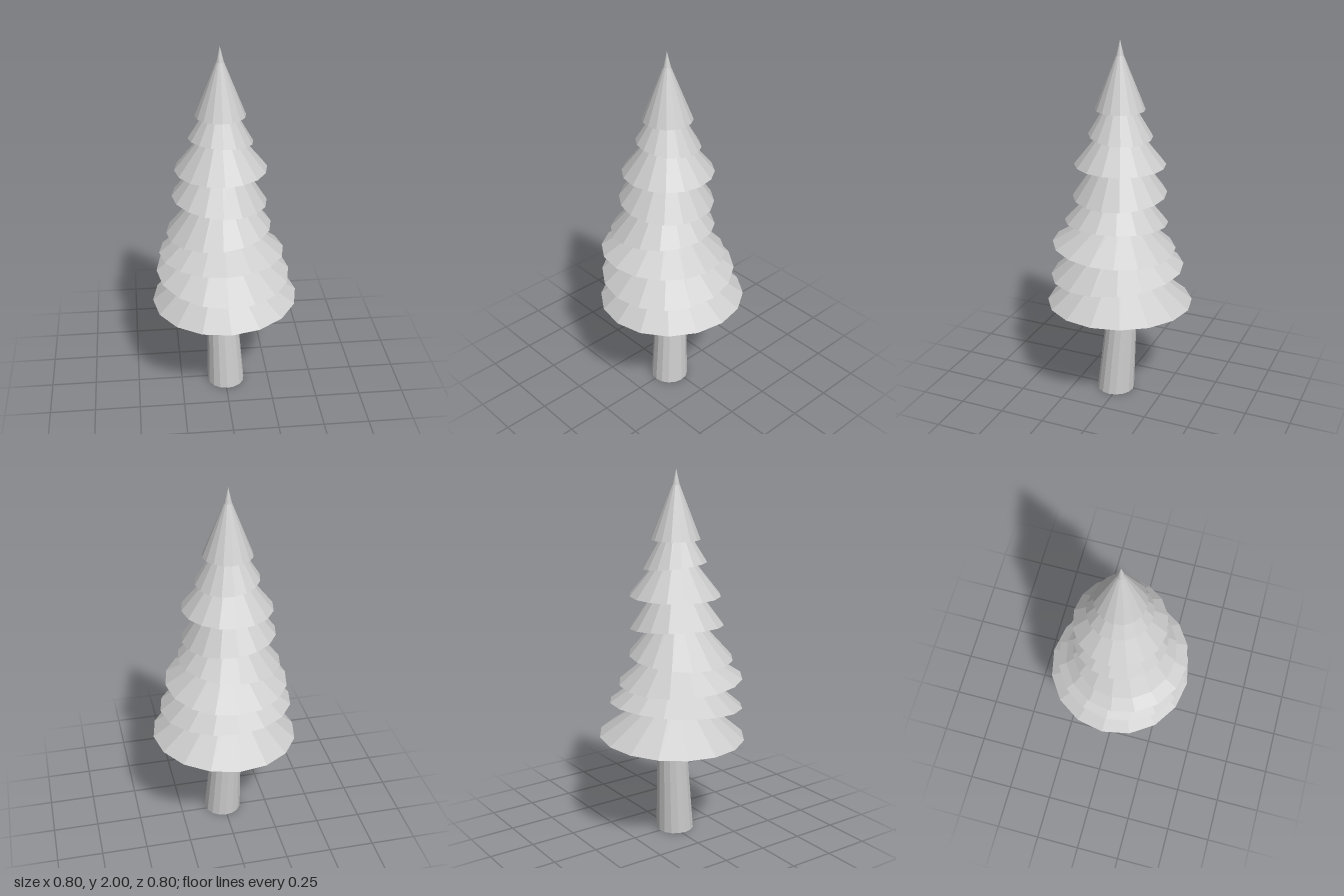
import * as THREE from 'three';

const SIDES = 16;

// Skin through rings [x, y, z, radius, tiltX, tiltZ], listed from bottom to top
function loft(rings, capBottom) {
  const pos = [], index = [];
  for (const [cx, cy, cz, r, tx = 0, tz = 0] of rings) {
    for (let j = 0; j < SIDES; j++) {
      const a = (j / SIDES) * Math.PI * 2;
      const dx = Math.cos(a) * r, dz = Math.sin(a) * r;
      pos.push(cx + dx, cy + tx * dx + tz * dz, cz + dz);
    }
  }
  for (let i = 0; i < rings.length - 1; i++) {
    for (let j = 0; j < SIDES; j++) {
      const k = (j + 1) % SIDES;
      const a = i * SIDES + j, b = i * SIDES + k;
      index.push(a, a + SIDES, b, b, a + SIDES, b + SIDES);
    }
  }
  if (capBottom) for (let j = 1; j < SIDES - 1; j++) index.push(0, j, j + 1);
  const geo = new THREE.BufferGeometry();
  geo.setAttribute('position', new THREE.Float32BufferAttribute(pos, 3));
  geo.setIndex(index);
  geo.computeVertexNormals();
  return geo;
}

export function createModel() {
  const tree = new THREE.Group();
  tree.name = 'firTree';
  const mat = new THREE.MeshStandardMaterial({
    color: 0xcccccc, flatShading: true, side: THREE.DoubleSide,
  });
  const add = (name, geo) => {
    const mesh = new THREE.Mesh(geo, mat);
    mesh.name = name;
    tree.add(mesh);
  };

  // Crooked, tapering trunk
  add('trunk', loft([
    [0.005, 0, 0.023, 0.105],
    [-0.013, 0.46, -0.006, 0.084],
    [-0.017, 0.57, 0.008, 0.08],
    [-0.03, 0.98, 0.025, 0.066],
    [-0.022, 1.35, 0.01, 0.048],
    [-0.022, 1.7, 0.01, 0.025],
  ], true));

  // Hollow branch skirts, each tilted a little:
  // rim x, y, z, radius, tilt along x, tilt along z, rise, top radius
  const skirts = [
    [0, 0.56, 0, 0.4, 0.033, -0.015, 0.25, 0.08],
    [-0.011, 0.739, 0.02, 0.364, -0.032, -0.083, 0.23, 0.075],
    [-0.021, 0.876, 0.043, 0.337, 0.008, 0.061, 0.2, 0.07],
    [-0.035, 1.012, 0.035, 0.281, 0.08, -0.005, 0.25, 0.065],
    [-0.028, 1.175, 0.012, 0.253, -0.079, -0.012, 0.27, 0.06],
    [-0.02, 1.344, 0.007, 0.244, 0.01, 0, 0.24, 0.05],
    [-0.02, 1.504, 0.005, 0.17, -0.079, 0.079, 0.2, 0.05],
  ];
  skirts.forEach(([x, y, z, r, tx, tz, rise, top], i) => {
    add(`branchSkirt${i + 1}`, loft([
      [x, y, z, r, tx, tz],
      [-0.022, y + rise, x < -0.03 ? 0.02 : 0.01, top],
    ]));
  });

  // Crown with a drawn-out tip
  add('crown', loft([
    [-0.022, 1.64, 0.008, 0.132],
    [-0.023, 1.92, 0.01, 0.02],
    [-0.024, 2, 0.01, 0.0005],
  ]));

  return tree;
}
